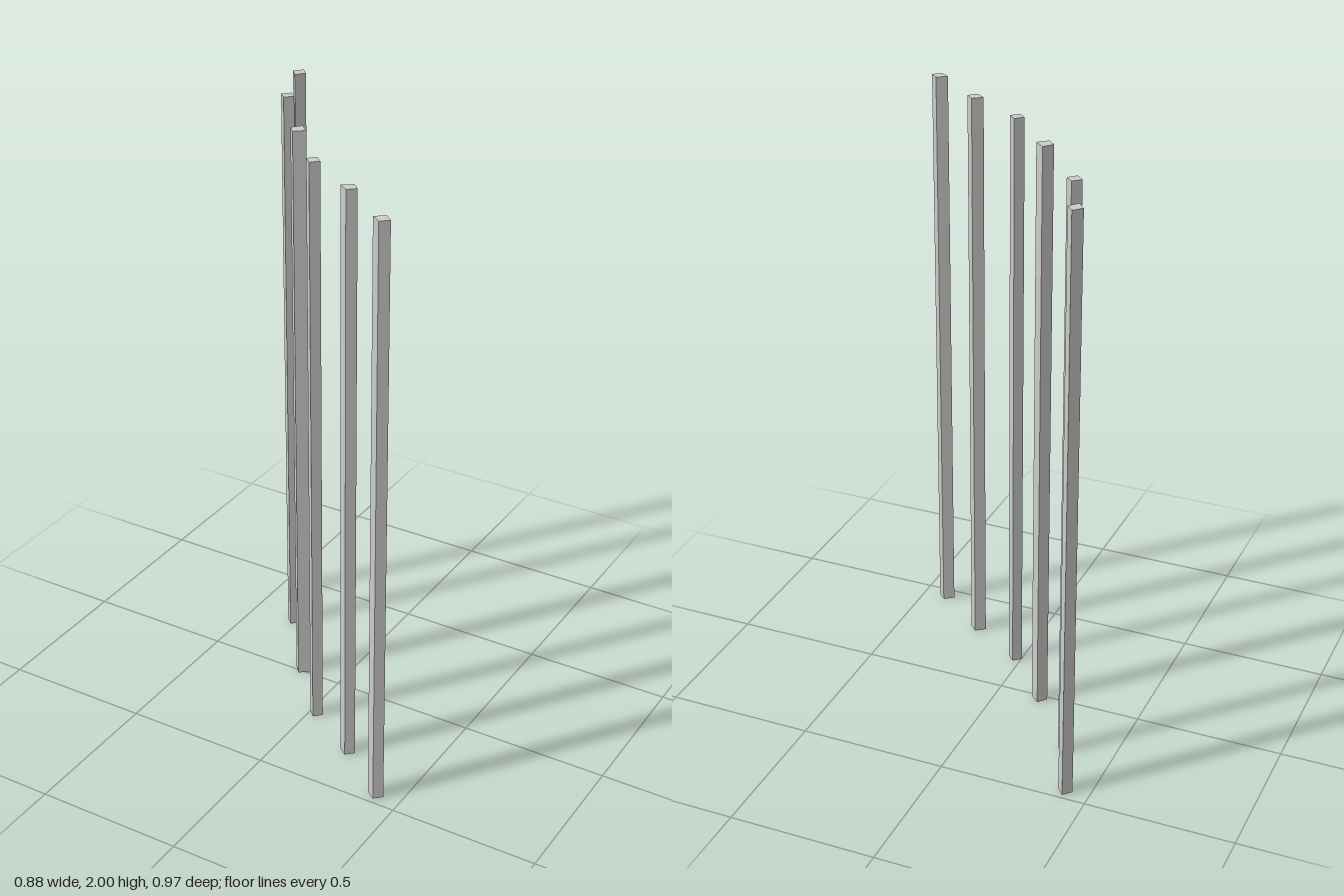
import * as THREE from 'three';

const HEIGHT = 2;

// Diamond-section posts: corner point x, z, then reach to left (-x), right (+x), back (-z), front (+z)
const POSTS = [
  [-0.418, -0.458, 0.025, 0.024, 0.028, 0.030],
  [-0.335, -0.252, 0.025, 0.024, 0.024, 0.025],
  [-0.151, -0.012, 0.025, 0.032, 0.030, 0.028],
  [0.024, 0.182, 0.025, 0.024, 0.024, 0.025],
  [0.223, 0.308, 0.031, 0.025, 0.025, 0.024],
  [0.416, 0.458, 0.032, 0.025, 0.024, 0.024],
];

function postGeometry(left, right, back, front) {
  const section = new THREE.Shape([
    new THREE.Vector2(right, 0),
    new THREE.Vector2(0, back),
    new THREE.Vector2(-left, 0),
    new THREE.Vector2(0, -front),
  ]);
  // Stand the extrusion upright: shape y becomes -z
  return new THREE.ExtrudeGeometry(section, { depth: HEIGHT, bevelEnabled: false }).rotateX(-Math.PI / 2);
}

export function createModel() {
  const model = new THREE.Group();
  model.name = 'postRow';
  const material = new THREE.MeshStandardMaterial({ color: 0xcccccc, flatShading: true });
  POSTS.forEach(([x, z, ...reach], i) => {
    const post = new THREE.Mesh(postGeometry(...reach), material);
    post.name = `post${i + 1}`;
    post.position.set(x, 0, z);
    model.add(post);
  });
  return model;
}
